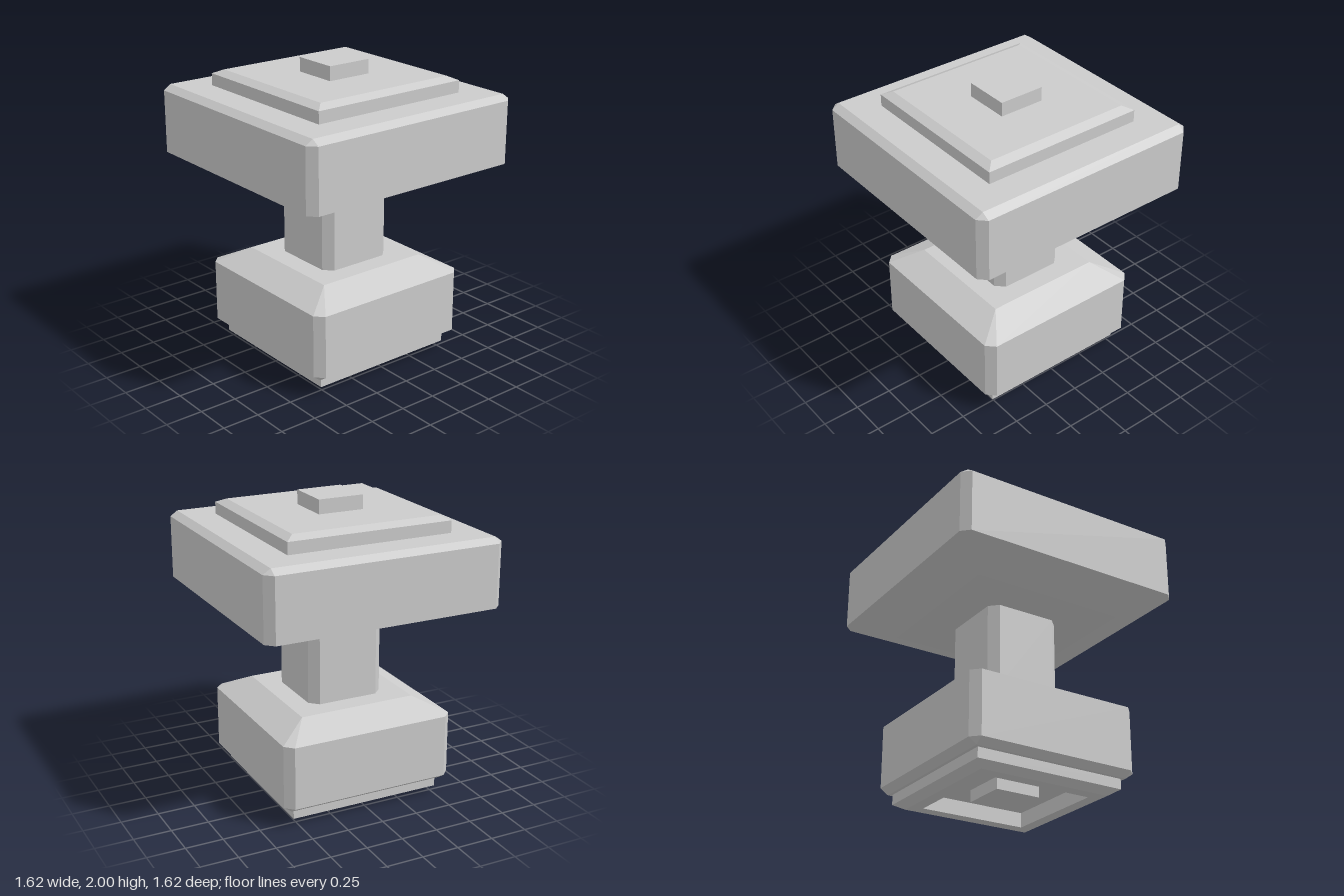
import * as THREE from 'three';

// Square ring at height y: half width h, corners cut by c, counterclockwise seen from above
function ring([y, h, c = 0]) {
  const t = h - c;
  return [[h, t], [h, -t], [t, -h], [-t, -h], [-h, -t], [-h, t], [-t, h], [t, h]]
    .map(([x, z]) => new THREE.Vector3(x, y, z));
}

// Flat-shaded solid lofted through [height, halfWidth, cornerCut] sections, capped at both ends
function loft(sections) {
  const rings = sections.map(ring);
  const pos = [];
  const tri = (a, b, c) => {
    const area = b.clone().sub(a).cross(c.clone().sub(a)).length();
    if (area > 1e-8) for (const p of [a, b, c]) pos.push(p.x, p.y, p.z);
  };
  const first = rings[0], last = rings[rings.length - 1];
  const low = new THREE.Vector3(0, sections[0][0], 0);
  const high = new THREE.Vector3(0, sections[sections.length - 1][0], 0);
  for (let k = 0; k < 8; k++) {
    const n = (k + 1) % 8;
    for (let i = 0; i < rings.length - 1; i++) {
      tri(rings[i][k], rings[i][n], rings[i + 1][n]);
      tri(rings[i][k], rings[i + 1][n], rings[i + 1][k]);
    }
    tri(low, first[n], first[k]);
    tri(high, last[k], last[n]);
  }
  const geo = new THREE.BufferGeometry();
  geo.setAttribute('position', new THREE.Float32BufferAttribute(pos, 3));
  geo.computeVertexNormals();
  return geo;
}

export function createModel() {
  const group = new THREE.Group();
  const material = new THREE.MeshStandardMaterial({ color: 0xcccccc, flatShading: true });
  const add = (name, sections) => {
    const mesh = new THREE.Mesh(loft(sections), material);
    mesh.name = name;
    group.add(mesh);
  };

  // Peg inside the hollow underside
  add('bottomPeg', [[0.02, 0.157], [0.1, 0.157]]);
  // Foot plate: recess ceiling, recess wall, rim, bevel, outer wall
  add('footPlate', [[0.1, 0.376], [0, 0.376], [0, 0.46], [0.037, 0.523], [0.105, 0.523]]);
  // Lower block with cut corners and sloping shoulders
  add('lowerBlock', [[0.105, 0.545], [0.143, 0.6, 0.055], [0.567, 0.6, 0.055], [0.67, 0.4]]);
  // Narrow column between the two blocks
  add('neck', [[0.67, 0.262, 0.057], [1.235, 0.262, 0.057]]);
  // Wide upper block, tapering below and bevelled above
  add('upperBlock', [[1.235, 0.535], [1.343, 0.81, 0.053], [1.763, 0.81, 0.053], [1.797, 0.76]]);
  // Raised plate and peg on top
  add('topPlate', [[1.797, 0.563], [1.877, 0.563], [1.905, 0.505]]);
  add('topPeg', [[1.905, 0.156], [2, 0.156]]);

  return group;
}
